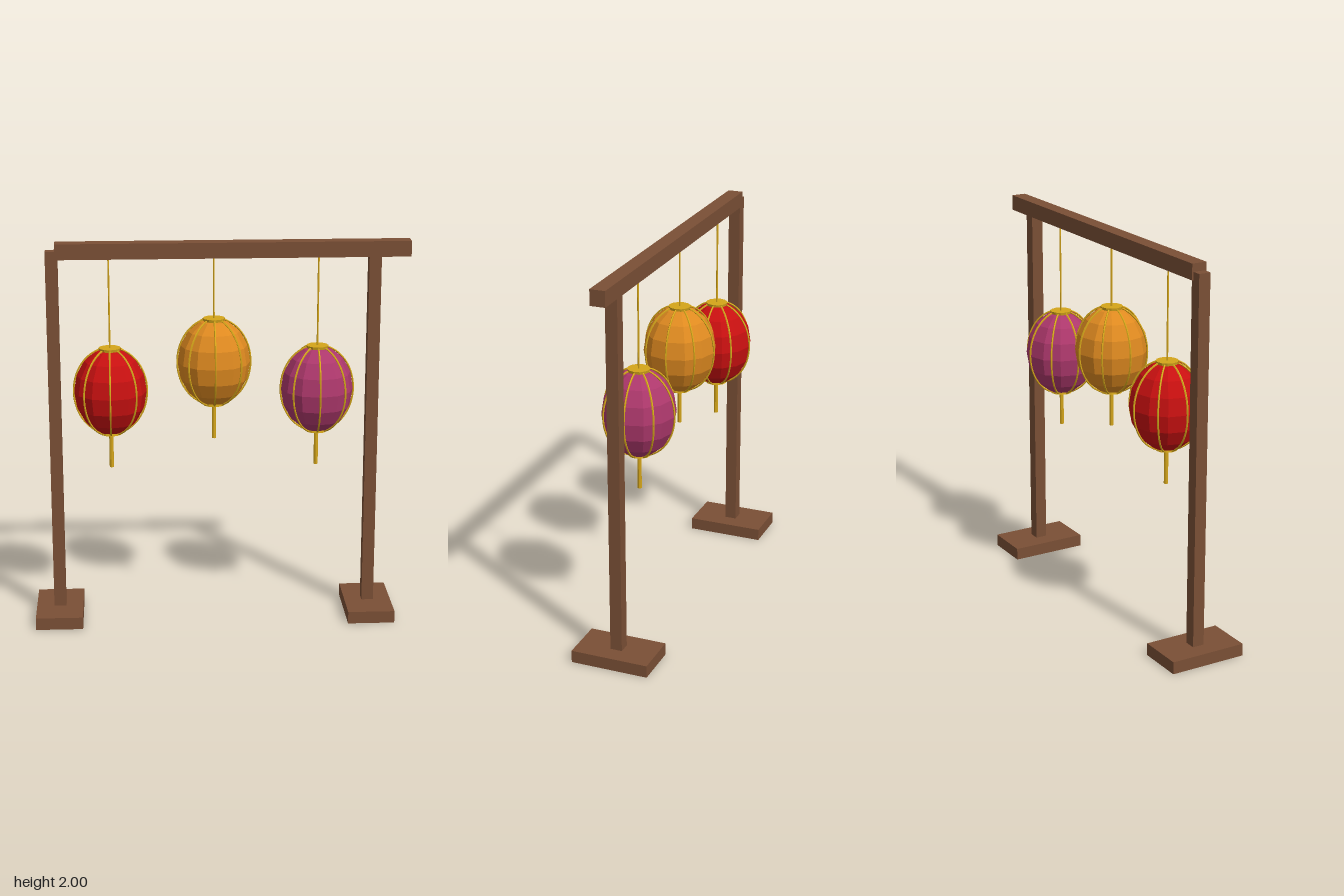
import * as THREE from 'three';

const mat = (name, color, flatShading = false) => {
  const m = new THREE.MeshStandardMaterial({ color, flatShading });
  m.name = name;
  return m;
};

function add(parent, name, geometry, material, x = 0, y = 0, z = 0) {
  const mesh = new THREE.Mesh(geometry, material);
  mesh.name = name;
  mesh.position.set(x, y, z);
  parent.add(mesh);
  return mesh;
}

// Box given by its x range, y range and depth, centred on z = 0
function beam(parent, name, material, x0, x1, y0, y1, depth) {
  const geometry = new THREE.BoxGeometry(x1 - x0, y1 - y0, depth);
  return add(parent, name, geometry, material, (x0 + x1) / 2, (y0 + y1) / 2, 0);
}

const RADIUS = 0.186, HALF_HEIGHT = 0.228, BEAM_BOTTOM = 1.92;

// Thin hoop running down the paper body from cap to cap
function ribGeometry() {
  const points = [];
  for (let i = 0; i <= 16; i++) {
    const t = 0.3 + (Math.PI - 0.6) * i / 16;
    points.push(new THREE.Vector3((RADIUS + 0.002) * Math.sin(t), (HALF_HEIGHT + 0.002) * Math.cos(t), 0));
  }
  return new THREE.TubeGeometry(new THREE.CatmullRomCurve3(points), 24, 0.005, 5);
}

function lantern(name, paper, gold, x, y) {
  const group = new THREE.Group();
  group.name = name;
  group.position.set(x, y, 0);

  // Faceted paper body
  const body = new THREE.SphereGeometry(RADIUS, 12, 8);
  body.scale(1, HALF_HEIGHT / RADIUS, 1);
  add(group, 'paperBody', body, paper);

  // Eight ribs
  const rib = ribGeometry();
  for (let i = 0; i < 8; i++) add(group, 'rib', rib, gold).rotation.y = i * Math.PI / 4;

  // Caps, string and tassel
  add(group, 'topCap', new THREE.CylinderGeometry(0.057, 0.053, 0.02, 12), gold, 0, 0.219);
  add(group, 'bottomCap', new THREE.CylinderGeometry(0.053, 0.057, 0.02, 12), gold, 0, -0.217);
  const length = BEAM_BOTTOM - y - 0.22;
  add(group, 'string', new THREE.CylinderGeometry(0.005, 0.005, length, 6), gold, 0, 0.22 + length / 2);
  add(group, 'tassel', new THREE.CylinderGeometry(0.011, 0.011, 0.19, 8), gold, 0, -0.313);
  return group;
}

export function createModel() {
  const model = new THREE.Group();
  model.name = 'lanternStand';
  const wood = mat('wood', 0x7a4f35);
  const gold = mat('gold', 0xd4a51a, true);

  // Wooden frame: two posts on feet under a crossbeam
  for (const [side, x] of [['right', -0.847], ['left', 0.785]]) {
    beam(model, side + 'Foot', wood, x - 0.122, x + 0.122, 0, 0.064, 0.406);
    beam(model, side + 'Post', wood, x - 0.031, x + 0.031, 0.06, 1.96, 0.062);
  }
  beam(model, 'crossbeam', wood, -0.83, 0.965, BEAM_BOTTOM, 2, 0.078);

  // Hanging lanterns
  model.add(lantern('redLantern', mat('red paper', 0xc81010, true), gold, -0.562, 1.229));
  model.add(lantern('orangeLantern', mat('orange paper', 0xdf8a20, true), gold, -0.031, 1.378));
  model.add(lantern('pinkLantern', mat('pink paper', 0xad386c, true), gold, 0.5, 1.229));
  return model;
}
